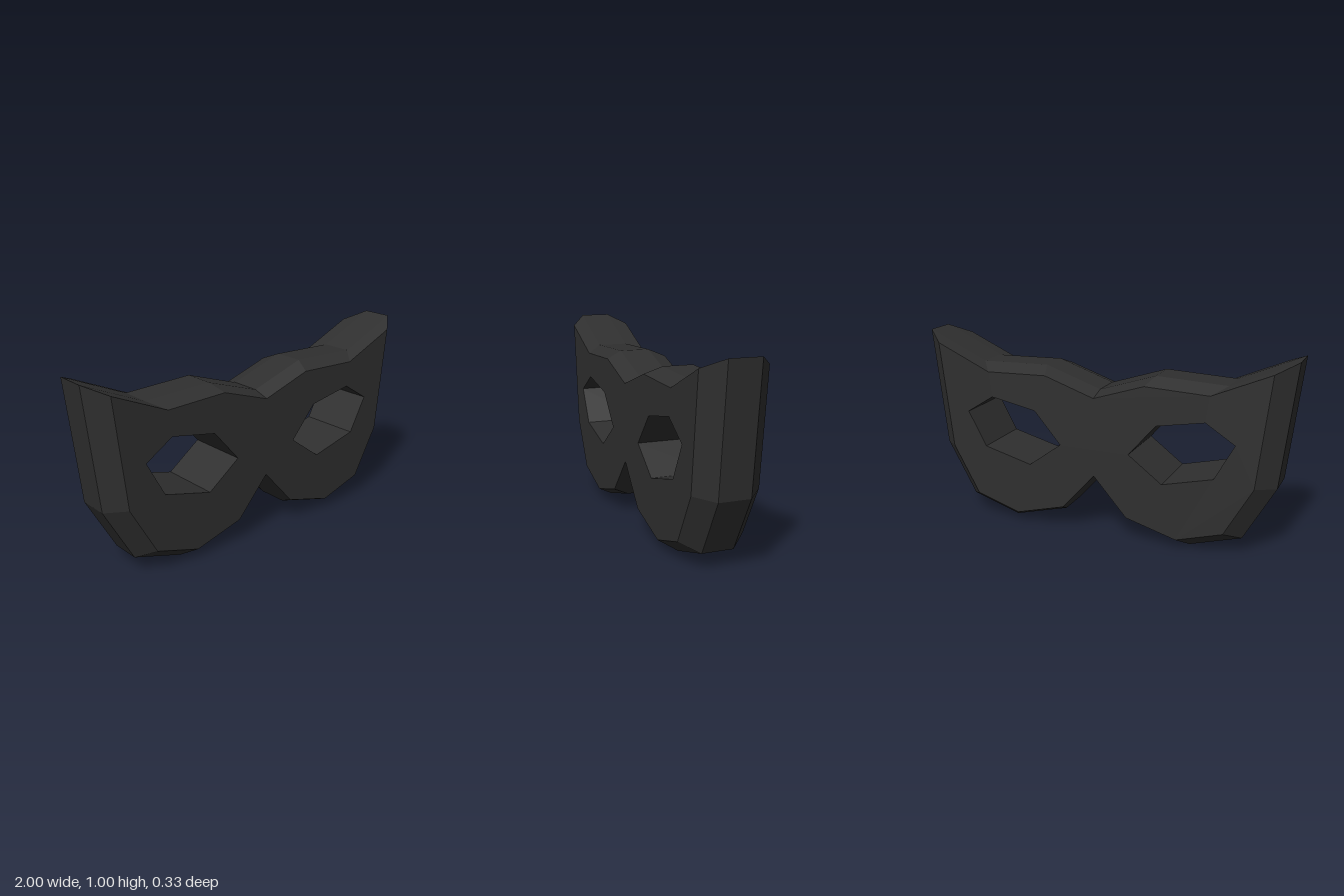
import * as THREE from 'three';

const CENTRE_Y = 0.5;
const HALF_DEPTH = 0.166, RIM_DEPTH = 0.08, INSET = 0.9;

// Left half of the outline, from the chin notch round to the brow dip
const half = [
  [0, 0.308], [0.2, 0.083], [0.5, 0], [0.77, 0.083], [0.93, 0.37],
  [1, 1], [0.67, 0.855], [0.3, 0.868], [0, 0.768],
];
// Left eye hole, counter-clockwise
const eye = [
  [0.19, 0.47], [0.37, 0.337], [0.635, 0.405],
  [0.735, 0.59], [0.585, 0.685], [0.335, 0.638],
];

const mirror = (points) => points.map(([x, y]) => [-x, y]).reverse();
const scaled = (points, s) => points.map(([x, y]) => [x * s, CENTRE_Y + (y - CENTRE_Y) * s]);
const toVectors = (points) => points.map(([x, y]) => new THREE.Vector2(x, y));

// Wall through a series of [loop, z] sections; counter-clockwise loops face outwards
function wall(sections) {
  const pos = [];
  for (let s = 0; s < sections.length - 1; s++) {
    const [lo, z0] = sections[s], [hi, z1] = sections[s + 1];
    for (let i = 0; i < lo.length; i++) {
      const j = (i + 1) % lo.length;
      const a = [...lo[i], z0], b = [...lo[j], z0], c = [...hi[j], z1], d = [...hi[i], z1];
      pos.push(...a, ...b, ...c, ...a, ...c, ...d);
    }
  }
  const geo = new THREE.BufferGeometry();
  geo.setAttribute('position', new THREE.Float32BufferAttribute(pos, 3));
  geo.computeVertexNormals();
  return geo;
}

export function createModel() {
  const group = new THREE.Group();
  group.name = 'eyeMask';
  const black = new THREE.MeshStandardMaterial({ color: 0x2f2f2f, flatShading: true });
  black.name = 'charcoal';

  const add = (name, geo) => {
    const mesh = new THREE.Mesh(geo, black);
    mesh.name = name;
    group.add(mesh);
    return mesh;
  };

  const outline = [...half, ...mirror(half).slice(1, -1)];
  const inset = scaled(outline, INSET);
  const eyes = { left: eye, right: mirror(eye) };

  // Chamfered outer rim
  add('rim', wall([
    [inset, -HALF_DEPTH], [outline, -RIM_DEPTH], [outline, RIM_DEPTH], [inset, HALF_DEPTH],
  ]));

  // Flat front and back faces with eye holes
  const shape = new THREE.Shape(toVectors(inset));
  for (const loop of Object.values(eyes)) shape.holes.push(new THREE.Path(toVectors(loop)));
  add('frontFace', new THREE.ShapeGeometry(shape)).position.z = HALF_DEPTH;
  const back = add('backFace', new THREE.ShapeGeometry(shape));
  back.position.z = -HALF_DEPTH;
  back.rotation.y = Math.PI;

  // Straight walls inside the eye holes, facing inwards
  for (const [side, loop] of Object.entries(eyes)) {
    const inward = [...loop].reverse();
    add(side + 'EyeHole', wall([[inward, -HALF_DEPTH], [inward, HALF_DEPTH]]));
  }
  return group;
}
